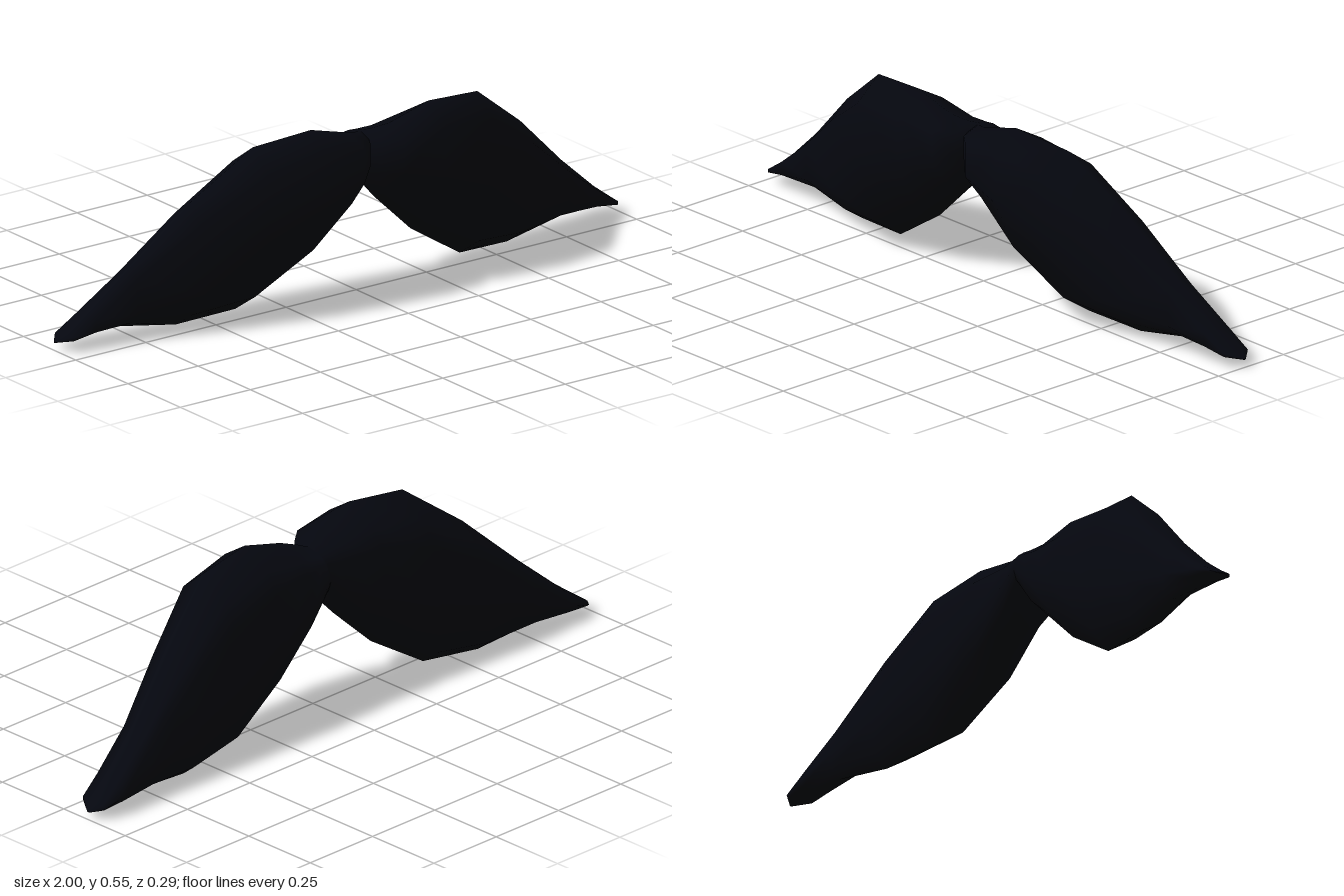
import * as THREE from 'three';

// Stations from the middle to the tip: x, bottom y, top y, back z, front z,
// and how far up (0..1) the lower edge of the front face sits
const STATIONS = [
  [0, 0.37, 0.49, -0.075, 0.06, 0.4],
  [0.02, 0.34, 0.496, -0.078, 0.095, 0.42],
  [0.07, 0.267, 0.51, -0.083, 0.135, 0.45],
  [0.21, 0.135, 0.548, -0.1, 0.145, 0.49],
  [0.4, 0.015, 0.53, -0.12, 0.122, 0.5],
  [0.59, 0, 0.385, -0.13, 0.052, 0.32],
  [0.77, 0.026, 0.215, -0.137, -0.012, 0.3],
  [0.9, 0.031, 0.102, -0.147, -0.036, 0.3],
  [0.97, 0.028, 0.05, -0.14, -0.048, 0.4],
  [1, 0.023, 0.027, -0.105, -0.095, 0.5],
];

// Cross-section as [depth, height] fractions, from the top over the front
const ring = (low) => [
  [0.67, 1], [1, 0.87], [1, low], [0.72, 0.125], [0.32, 0],
  [0.08, 0.09], [0, 0.36], [0.13, 0.74], [0.28, 0.87],
];

// One half of the moustache, lofted through the stations
function makeHalf(side, material) {
  const positions = [];
  const index = [];
  const n = ring(0).length;
  for (const [x, y0, y1, z0, z1, low] of STATIONS) {
    for (const [d, h] of ring(low)) {
      positions.push(side * x, y0 + (y1 - y0) * h, z0 + (z1 - z0) * d);
    }
  }
  const tri = (a, b, c) => (side > 0 ? index.push(a, b, c) : index.push(a, c, b));
  for (let s = 0; s < STATIONS.length - 1; s++) {
    for (let i = 0; i < n; i++) {
      const j = (i + 1) % n;
      const a = s * n + i, b = s * n + j;
      tri(a, b, a + n);
      tri(b, b + n, a + n);
    }
  }
  // Close the tip
  const last = (STATIONS.length - 1) * n;
  for (let i = 1; i < n - 1; i++) tri(last, last + i, last + i + 1);

  const geometry = new THREE.BufferGeometry();
  geometry.setAttribute('position', new THREE.Float32BufferAttribute(positions, 3));
  geometry.setIndex(index);
  geometry.computeVertexNormals();
  const mesh = new THREE.Mesh(geometry, material);
  mesh.name = side > 0 ? 'leftMoustacheHalf' : 'rightMoustacheHalf';
  return mesh;
}

export function createModel() {
  const group = new THREE.Group();
  group.name = 'moustache';
  const material = new THREE.MeshStandardMaterial({ color: 0x05070f });
  for (const side of [1, -1]) group.add(makeHalf(side, material));
  return group;
}
